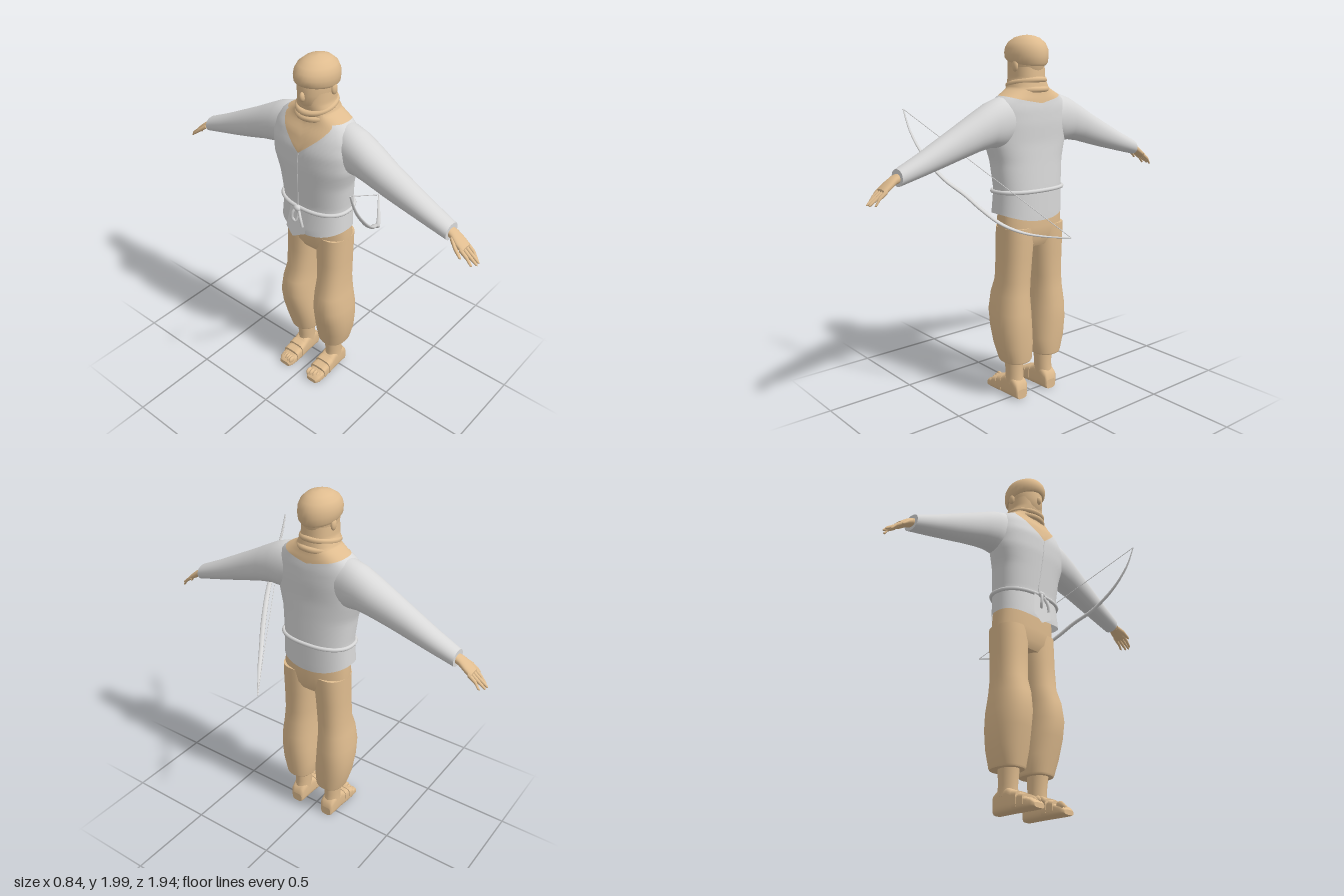
import * as THREE from 'three';

const V = (x, y, z) => new THREE.Vector3(x, y, z);
const skinMat = new THREE.MeshStandardMaterial({ color: 0xdfbc8f });
skinMat.name = 'tan';
const clothMat = new THREE.MeshStandardMaterial({ color: 0xd8d8d8 });
clothMat.name = 'pale grey';
const clothOpen = clothMat.clone();
clothOpen.side = THREE.DoubleSide;
clothOpen.name = 'pale grey';

// Skin a list of closed rings, with flat caps on both ends
function loft(rings, caps = true) {
  const n = rings[0].length, pos = [], idx = [];
  const put = p => pos.push(p.x, p.y, p.z) / 3 - 1;
  rings.forEach(r => r.forEach(put));
  for (let j = 0; j < rings.length - 1; j++)
    for (let i = 0; i < n; i++) {
      const a = j * n + i, b = j * n + (i + 1) % n;
      idx.push(a, a + n, b, b, a + n, b + n);
    }
  if (caps) [rings[0], rings[rings.length - 1]].forEach((r, end) => {
    const c = put(r.reduce((s, p) => s.add(p), V(0, 0, 0)).divideScalar(n));
    const first = r.map(put)[0];
    for (let i = 0; i < n; i++) {
      const a = first + i, b = first + (i + 1) % n;
      if (end) idx.push(c, b, a); else idx.push(c, a, b);
    }
  });
  const g = new THREE.BufferGeometry();
  g.setAttribute('position', new THREE.Float32BufferAttribute(pos, 3));
  g.setIndex(idx);
  g.computeVertexNormals();
  return g;
}

// Ring of [cos, sin] pairs on a rounded square, turned into points by fn
function ring(fn, e = 0.85, n = 32) {
  const pw = c => Math.sign(c) * Math.abs(c) ** e;
  return Array.from({ length: n }, (_, i) => {
    const t = i / n * Math.PI * 2;
    return fn(pw(Math.cos(t)), pw(Math.sin(t)));
  });
}
const mid = (a, b, c) => (a + b) / 2 + (b - a) / 2 * c;
// Sections [y, xMin, xMax, zMin, zMax]
const upright = (s, e) => loft(s.map(([y, a, b, p, q]) => ring((c, d) => V(mid(a, b, c), y, mid(p, q, d)), e)));
// Sections [z, yMin, yMax, xMin, xMax], running along +z
const sideways = (s, e) => loft(s.map(([z, a, b, p, q]) => ring((c, d) => V(mid(p, q, d), mid(a, b, c), z), e)));

function mirrorZ(g) {
  const m = g.clone().scale(1, 1, -1), ix = m.index.array;
  for (let i = 0; i < ix.length; i += 3) [ix[i], ix[i + 1]] = [ix[i + 1], ix[i]];
  m.computeVertexNormals();
  return m;
}

// Upper body profile: [y, xMin, xMax, half width in z]
const BODY = [
  [0.98, -0.165, 0.105, 0.2], [1.05, -0.172, 0.108, 0.207], [1.2, -0.155, 0.108, 0.2],
  [1.35, -0.17, 0.1, 0.215], [1.45, -0.18, 0.096, 0.245], [1.55, -0.18, 0.1, 0.25],
  [1.63, -0.155, 0.098, 0.235], [1.68, -0.125, 0.09, 0.205], [1.7, -0.12, 0.085, 0.165],
  [1.73, -0.122, 0.08, 0.11], [1.78, -0.132, 0.07, 0.09], [1.84, -0.13, 0.065, 0.088],
];
function bodyPoint(c, s, y, grow = 0) {
  let i = 0;
  while (i < BODY.length - 2 && y > BODY[i + 1][0]) i++;
  const A = BODY[i], B = BODY[i + 1], t = (y - A[0]) / (B[0] - A[0]);
  const [x0, x1, w] = [1, 2, 3].map(k => A[k] + (B[k] - A[k]) * t);
  return V(mid(x0 - grow, x1 + grow, c), y, (w + grow) * s);
}
// Strip of the upper body between two wavy edges
function bodyBand(low, high, steps) {
  return loft(Array.from({ length: steps + 1 }, (_, j) => ring((c, s) =>
    bodyPoint(c, s, THREE.MathUtils.lerp(low(c, s), high(c, s), j / steps)), 0.85, 64)), false);
}
const hem = (c, s) => 1.035 + 0.04 * Math.abs(s) ** 2;
const neckline = (c, s) => c < 0
  ? 1.53 + 0.165 * Math.min(1, Math.abs(s) * 1.25)
  : 1.655 + 0.04 * Math.abs(s);

export function createModel() {
  const root = new THREE.Group();
  const add = (name, geo, mat = skinMat, parent = root) => {
    const m = new THREE.Mesh(geo, mat);
    m.name = name;
    parent.add(m);
    return m;
  };
  const both = (name, geo, mat = skinMat) => {
    add('left ' + name, geo, mat);
    add('right ' + name, mirrorZ(geo), mat);
  };
  const tube = (pts, r, closed = false, seg = 48) =>
    new THREE.TubeGeometry(new THREE.CatmullRomCurve3(pts, closed), seg, r, 8, closed);
  const ball = (x, y, z, rx, ry, rz) => new THREE.SphereGeometry(1, 20, 14).scale(rx, ry, rz).translate(x, y, z);

  // Tunic and neck scarf share the neckline
  add('tunic', bodyBand(hem, neckline, 28), clothOpen);
  add('scarf', bodyBand(neckline, () => 1.84, 16));
  add('scarfFold', tube(ring((c, s) => V(-0.032 + 0.1 * c, 1.755 + 0.02 * c, 0.09 * s), 1, 16), 0.016, true));
  add('scarfLowerFold', tube(ring((c, s) => V(-0.025 + 0.105 * c, 1.715 + 0.01 * c, 0.1 * s), 1, 16), 0.016, true));

  // Sleeves
  both('sleeve', sideways([
    [0.14, 1.45, 1.685, -0.1, 0.075], [0.2, 1.43, 1.69, -0.108, 0.082], [0.27, 1.435, 1.665, -0.11, 0.082],
    [0.35, 1.42, 1.622, -0.108, 0.075], [0.45, 1.392, 1.567, -0.1, 0.06], [0.55, 1.365, 1.515, -0.09, 0.052],
    [0.68, 1.332, 1.447, -0.077, 0.044], [0.81, 1.3, 1.385, -0.066, 0.036],
  ], 0.95), clothMat);

  // Hands, fingers and thumbs
  both('hand', sideways([
    [0.79, 1.325, 1.37, -0.042, 0.012], [0.83, 1.312, 1.355, -0.05, 0.016],
    [0.865, 1.287, 1.33, -0.058, 0.02], [0.9, 1.268, 1.3, -0.056, 0.02],
  ]));
  [[-0.05, 0.955], [-0.029, 0.972], [-0.008, 0.97], [0.013, 0.95]].forEach(([x, tip], i) => {
    both('finger ' + (i + 1), sideways([
      [0.885, 1.278, 1.304, x - 0.01, x + 0.01], [0.925, 1.25, 1.272, x - 0.009, x + 0.009],
      [tip - 0.008, 1.227, 1.243, x - 0.007, x + 0.007], [tip, 1.227, 1.233, x - 0.003, x + 0.003],
    ], 1));
  });
  both('thumb', sideways([
    [0.83, 1.312, 1.342, -0.056, -0.03], [0.865, 1.287, 1.313, -0.077, -0.054],
    [0.9, 1.262, 1.279, -0.084, -0.067], [0.907, 1.262, 1.27, -0.08, -0.072],
  ], 1));

  // Trousers
  add('hips', upright([
    [0.89, -0.09, 0.075, -0.17, 0.17], [0.93, -0.112, 0.095, -0.192, 0.192],
    [1.0, -0.118, 0.103, -0.197, 0.197], [1.1, -0.12, 0.098, -0.192, 0.192],
  ]));
  both('trouser leg', upright([
    [0.23, -0.095, 0.085, 0.03, 0.185], [0.24, -0.1, 0.09, 0.022, 0.19], [0.33, -0.12, 0.097, 0.012, 0.215],
    [0.43, -0.145, 0.102, 0.018, 0.224], [0.52, -0.16, 0.1, 0.022, 0.222], [0.62, -0.15, 0.09, 0.028, 0.208],
    [0.7, -0.122, 0.088, 0.026, 0.197], [0.83, -0.114, 0.093, 0.018, 0.196], [0.93, -0.113, 0.1, 0.01, 0.196],
    [1.0, -0.11, 0.1, 0.01, 0.196],
  ]));

  // Ankles and sandalled feet
  both('ankle', upright([
    [0.09, -0.07, 0.05, 0.06, 0.155], [0.15, -0.065, 0.04, 0.06, 0.152], [0.27, -0.08, 0.045, 0.055, 0.16],
  ], 1));
  const foot = [
    [0.06, 0.065, 0.032], [0.052, 0.11, 0.042], [0.015, 0.138, 0.046], [-0.045, 0.135, 0.048],
    [-0.09, 0.105, 0.05], [-0.15, 0.072, 0.052], [-0.2, 0.055, 0.048], [-0.22, 0.035, 0.034],
  ];
  both('foot', loft(foot.map(([x, top, w]) => ring((c, s) => V(x, mid(0.01, top, c), 0.107 + w * s), 0.55))));
  [[-0.095, 0.108], [-0.14, 0.088]].forEach(([x, top], i) => {
    const band = (bx, h, w) => ring((c, s) => V(bx, mid(0.012, h, c), 0.107 + w * s), 0.55);
    both('sandal strap ' + (i + 1), loft([band(x + 0.016, top + 0.008, 0.052), band(x - 0.018, top - 0.003, 0.054)]));
  });
  for (let i = 0; i < 5; i++)
    both('toe ' + (i + 1), ball(-0.195 + i * 0.006, 0.056 - i * 0.003, 0.07 + i * 0.019, 0.024, 0.02 - i * 0.001, 0.011));

  // Head, nose and ears
  add('head', upright([
    [1.74, -0.11, 0.03, -0.06, 0.06], [1.78, -0.138, 0.05, -0.08, 0.08], [1.83, -0.142, 0.07, -0.088, 0.088],
    [1.88, -0.14, 0.08, -0.092, 0.092], [1.92, -0.13, 0.08, -0.09, 0.09],
  ], 1));
  add('nose', ball(-0.138, 1.82, 0, 0.02, 0.026, 0.015));
  both('ear', ball(-0.012, 1.845, 0.091, 0.02, 0.03, 0.012));

  // Cap with a soft rim
  const cap = upright([
    [1.855, -0.148, 0.085, -0.092, 0.092], [1.87, -0.16, 0.096, -0.102, 0.102], [1.9, -0.162, 0.1, -0.105, 0.105],
    [1.93, -0.154, 0.097, -0.103, 0.103], [1.96, -0.135, 0.082, -0.09, 0.09], [1.985, -0.1, 0.05, -0.062, 0.062],
    [1.996, -0.065, 0.015, -0.032, 0.032], [2.0, -0.03, -0.02, -0.005, 0.005],
  ], 1);
  const p = cap.attributes.position;
  for (let i = 0; i < p.count; i++) // lift the rim over the brow
    p.setY(i, p.getY(i) - p.getX(i) * 0.13 * (2 - p.getY(i)) / 0.14);
  cap.computeVertexNormals();
  add('cap', cap);

  // Rope belt, knot and tails
  add('belt', tube(ring((c, s) => bodyPoint(c, s, 1.193 + 0.006 * c, 0.005), 0.85, 32), 0.011, true, 96), clothMat);
  add('beltKnot', ball(-0.172, 1.185, -0.02, 0.016, 0.018, 0.022), clothMat);
  add('beltLoop', tube([V(-0.17, 1.185, -0.02), V(-0.188, 1.165, -0.035), V(-0.19, 1.125, -0.04),
    V(-0.178, 1.105, -0.03), V(-0.17, 1.13, -0.02)], 0.008, true), clothMat);
  add('beltTail', tube([V(-0.172, 1.18, -0.01), V(-0.185, 1.13, 0.015), V(-0.184, 1.09, 0.025)], 0.008), clothMat);

  // Front overlap of the tunic, hanging to a point
  const flap = new THREE.BufferGeometry().setFromPoints([
    V(-0.166, 1.18, -0.07), V(-0.163, 1.18, 0.05), V(-0.183, 1.05, -0.09), V(-0.183, 1.05, 0.04), V(-0.19, 1.005, -0.04)]);
  flap.setIndex([0, 2, 1, 1, 2, 3, 3, 2, 4]);
  flap.computeVertexNormals();
  add('tunicFlap', flap, clothOpen);
  add('tunicSeam', tube([1.18, 1.27, 1.36, 1.45, 1.53].map((y, i) =>
    bodyPoint(-1, 0, y).add(V(0.002, 0, -0.03 + 0.0075 * i))), 0.004), clothMat);

  // Bow: tapering flat limb and its string
  const bow = new THREE.Group();
  bow.name = 'bow';
  root.add(bow);
  const path = new THREE.CatmullRomCurve3([
    V(-0.42, 1.62, 0.52), V(-0.37, 1.51, 0.514), V(-0.27, 1.38, 0.492), V(-0.15, 1.27, 0.448), V(-0.05, 1.2, 0.395),
    V(0.03, 1.13, 0.35), V(0.12, 1.06, 0.292), V(0.22, 1.022, 0.225), V(0.32, 1.01, 0.15), V(0.415, 1.012, 0.08)]);
  const flat = V(0.47, 0, 0.88); // across the limb
  const limb = Array.from({ length: 41 }, (_, i) => {
    const t = i / 40, o = path.getPointAt(t), k = 0.3 + 0.7 * Math.sin(Math.PI * t);
    const across = flat.clone(), tan = path.getTangentAt(t);
    across.addScaledVector(tan, -across.dot(tan)).normalize();
    const deep = across.clone().cross(tan);
    return ring((c, s) => o.clone().addScaledVector(across, s * 0.015 * k).addScaledVector(deep, -c * 0.009 * k), 1, 10);
  });
  add('bowLimb', loft(limb), clothOpen, bow);
  add('bowString', new THREE.TubeGeometry(new THREE.LineCurve3(path.points[0], path.points[9]), 1, 0.002, 6), clothMat, bow);
  return root;
}
